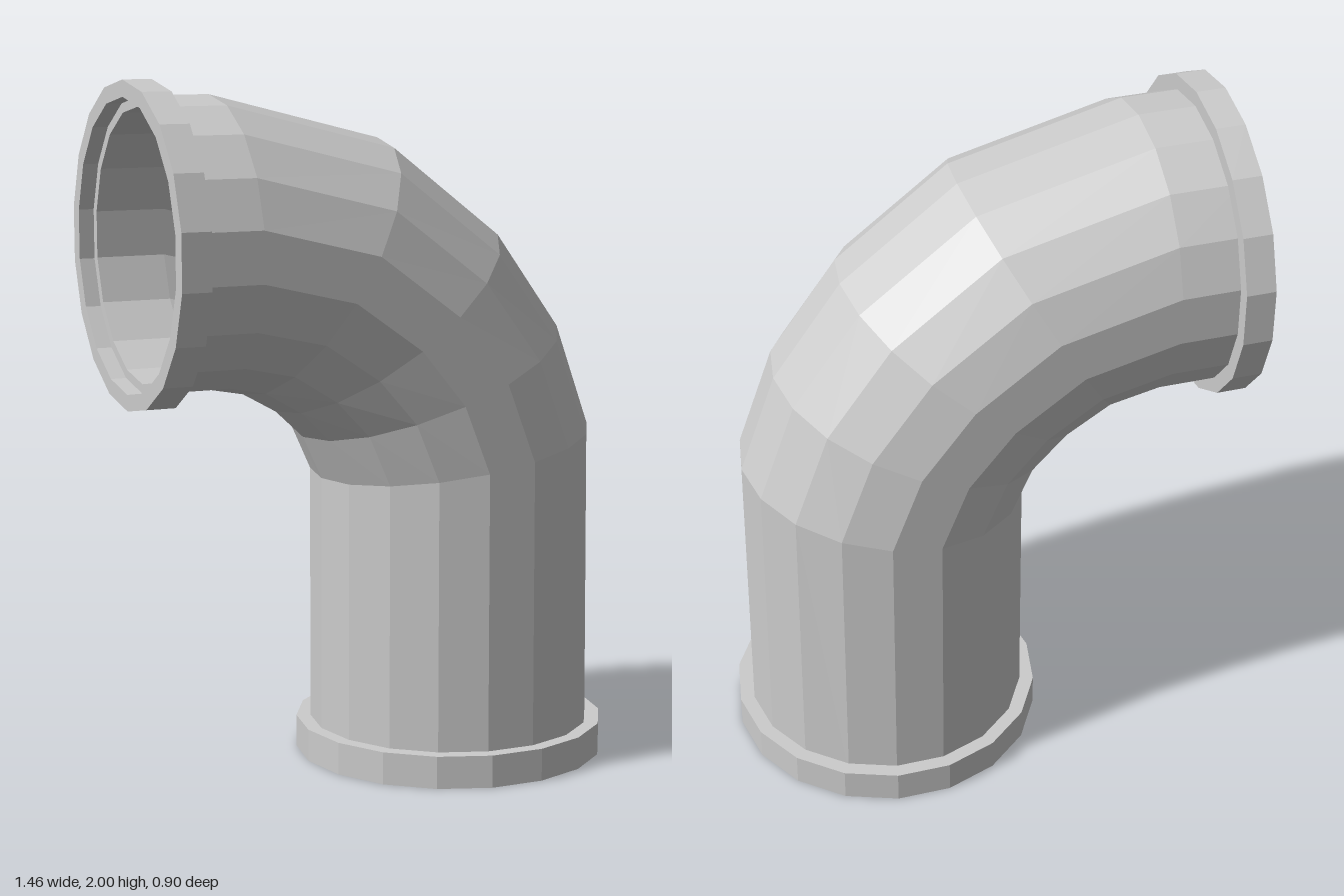
import * as THREE from 'three';

const SIDES = 18;
const material = new THREE.MeshStandardMaterial({ color: 0xcccccc, flatShading: true, side: THREE.DoubleSide });

// Hollow tube: sections are [x, y, tilt in degrees] along the centre line.
// The rings run up the outside and back down the inside, closing at both ends.
function hollowTube(name, sections, outer, inner) {
  const rings = [
    ...sections.map((s) => [...s, outer]),
    ...sections.slice().reverse().map((s) => [...s, inner]),
  ];
  const positions = [];
  const index = [];
  rings.forEach(([x, y, tilt, r], i) => {
    const a = THREE.MathUtils.degToRad(tilt);
    const next = ((i + 1) % rings.length) * SIDES;
    for (let j = 0; j < SIDES; j++) {
      const t = (j / SIDES) * Math.PI * 2;
      const d = r * Math.cos(t);
      positions.push(x + d * Math.cos(a), y + d * Math.sin(a), r * Math.sin(t));
      const k = (j + 1) % SIDES;
      const p = i * SIDES;
      index.push(p + j, next + j, next + k, p + j, next + k, p + k);
    }
  });
  const indexed = new THREE.BufferGeometry();
  indexed.setAttribute('position', new THREE.Float32BufferAttribute(positions, 3));
  indexed.setIndex(index);
  const geometry = indexed.toNonIndexed();
  geometry.computeVertexNormals();
  const mesh = new THREE.Mesh(geometry, material);
  mesh.name = name;
  return mesh;
}

export function createModel() {
  const group = new THREE.Group();
  group.name = 'pipeElbow';

  // Upright pipe, bend and short horizontal end, recessed inside both flanges
  group.add(hollowTube('elbowPipe', [
    [0.27, 0.05, 0],
    [0.267, 0.912, 9.3],
    [0.185, 1.125, 21.9],
    [0.043, 1.305, 37.9],
    [-0.175, 1.465, 59.7],
    [-0.48, 1.54, 90],
    [-0.685, 1.54, 90],
  ], 0.415, 0.385));

  // Flange collars at the two openings
  group.add(hollowTube('bottomFlange', [[0.27, 0, 0], [0.27, 0.095, 0]], 0.457, 0.412));
  group.add(hollowTube('sideFlange', [[-0.645, 1.54, 90], [-0.73, 1.54, 90]], 0.459, 0.412));

  return group;
}
